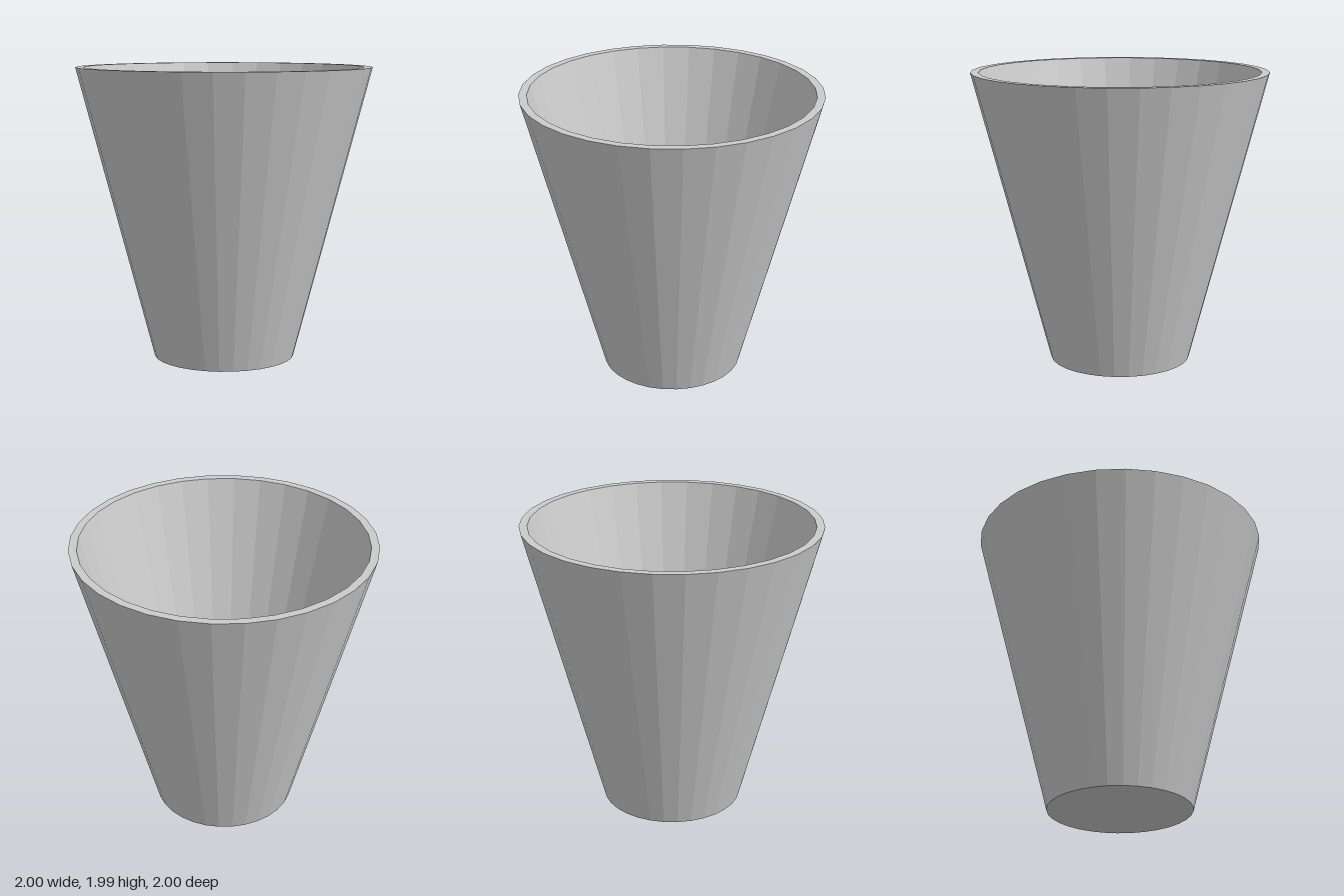
import * as THREE from 'three';

export function createModel() {
  const group = new THREE.Group();
  group.name = 'cup';

  const height = 1.99, baseRadius = 0.482, rimRadius = 1;
  const inner = 0.946; // the hollow is the same cone, scaled down from the rim
  const floorY = height * (1 - inner);

  // Closed profile: underside, outer wall, flat rim, inner wall, floor
  const profile = [
    [0, 0],
    [baseRadius, 0],
    [rimRadius, height],
    [rimRadius * inner, height],
    [baseRadius * inner, floorY],
    [0, floorY],
  ].map(([r, y]) => new THREE.Vector2(r, y));

  const cup = new THREE.Mesh(
    new THREE.LatheGeometry(profile, 32),
    new THREE.MeshStandardMaterial({ color: 0xcccccc, flatShading: true })
  );
  cup.name = 'cupBody';
  group.add(cup);
  return group;
}
